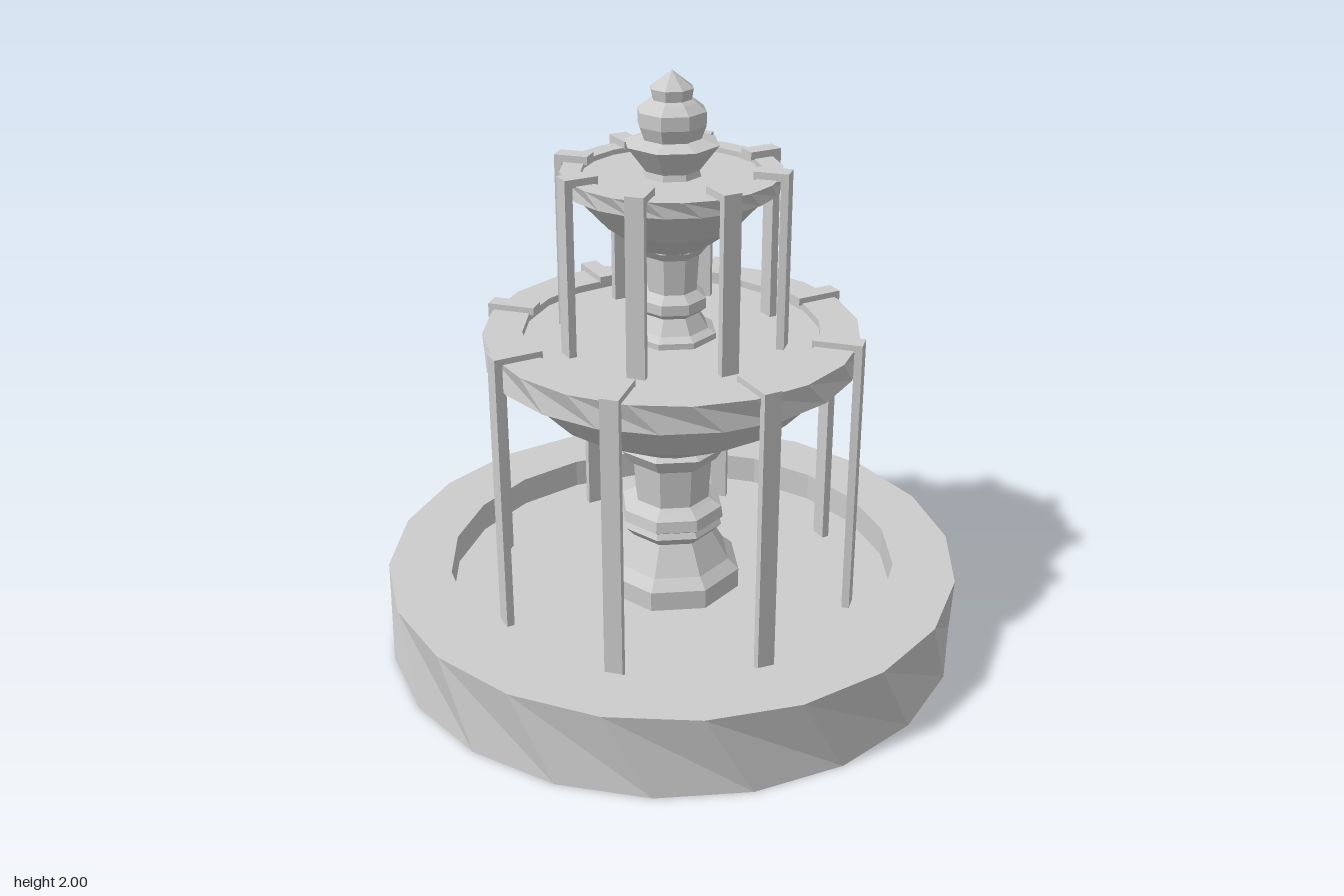
import * as THREE from 'three';

const stone = new THREE.MeshStandardMaterial({ color: 0xcccccc });
stone.name = 'grey stone';
stone.flatShading = true;

// Faceted turned part. Each profile entry is [radius, height, twist in facets].
function turned(name, sides, phase, profile) {
  const geo = new THREE.LatheGeometry(
    profile.map(([r, y]) => new THREE.Vector2(r, y)), sides);
  const pos = geo.attributes.position;
  const n = profile.length;
  for (let i = 0; i < pos.count; i++) {
    const [r, , twist = 0] = profile[i % n];
    const a = ((Math.floor(i / n) + phase + twist) / sides) * Math.PI * 2;
    pos.setX(i, r * Math.sin(a));
    pos.setZ(i, r * Math.cos(a));
  }
  geo.computeVertexNormals();
  const mesh = new THREE.Mesh(geo, stone);
  mesh.name = name;
  return mesh;
}

// Octagonal turned part, given half-widths across its flats.
function octagonal(name, profile) {
  const k = 1 / Math.cos(Math.PI / 8);
  return turned(name, 8, 0.5, profile.map(([r, y]) => [r * k, y]));
}

// Eight spouts lying on a rim, each with a stream falling to the tier below.
function spouts(name, inner, outer, top, bottom) {
  const group = new THREE.Group();
  group.name = name;
  const width = 0.061, thick = 0.026;
  for (let i = 0; i < 8; i++) {
    const arm = new THREE.Group();
    arm.name = 'spout';
    arm.rotation.y = ((i + 0.5) * Math.PI) / 4;

    const lip = new THREE.Mesh(
      new THREE.BoxGeometry(width, thick, outer - inner), stone);
    lip.name = 'spoutLip';
    lip.position.set(0, top - thick / 2, (inner + outer) / 2);

    const fall = top - thick - bottom;
    const stream = new THREE.Mesh(
      new THREE.BoxGeometry(width, fall, thick), stone);
    stream.name = 'fallingStream';
    stream.position.set(0, bottom + fall / 2, outer - thick / 2);

    arm.add(lip, stream);
    group.add(arm);
  }
  return group;
}

export function createModel() {
  const model = new THREE.Group();
  model.name = 'tieredFountain';

  // Ground basin with rough-cut outer wall
  model.add(turned('groundBasin', 20, 0, [
    [0, 0], [0.992, 0, 0.5], [0.99, 0.283],
    [0.775, 0.283, 0.3], [0.775, 0.18, 0.3], [0, 0.18],
  ]));

  // Lower pedestal
  model.add(octagonal('lowerPedestal', [
    [0.225, 0.18], [0.225, 0.25], [0.19, 0.285], [0.135, 0.385],
    [0.165, 0.42], [0.155, 0.44], [0.17, 0.45], [0.165, 0.49],
    [0.135, 0.51], [0.122, 0.52], [0.13, 0.66], [0.145, 0.67],
    [0.175, 0.72], [0.13, 0.75],
  ]));

  // Middle bowl, filled almost to the rim
  model.add(turned('middleBowl', 20, 0, [
    [0, 0.73], [0.16, 0.73], [0.29, 0.8], [0.43, 0.88],
    [0.58, 1.04], [0.622, 1.045, 0.5], [0.626, 1.14],
    [0.495, 1.14], [0.495, 1.115], [0, 1.115],
  ]));
  model.add(spouts('middleSpouts', 0.48, 0.645, 1.16, 0.18));

  // Upper pedestal
  model.add(octagonal('upperPedestal', [
    [0.14, 1.115], [0.14, 1.135], [0.115, 1.15], [0.085, 1.2],
    [0.108, 1.22], [0.108, 1.255], [0.09, 1.27], [0.078, 1.28],
    [0.085, 1.4], [0.108, 1.43], [0.1, 1.46],
  ]));

  // Upper bowl, filled almost to the rim
  model.add(turned('upperBowl', 20, 0, [
    [0, 1.43], [0.11, 1.43], [0.22, 1.51], [0.325, 1.625],
    [0.352, 1.63, 0.5], [0.358, 1.682], [0.29, 1.682],
    [0.29, 1.665], [0, 1.665],
  ]));
  model.add(spouts('upperSpouts', 0.275, 0.388, 1.705, 1.115));

  // Finial
  model.add(octagonal('finial', [
    [0.09, 1.665], [0.085, 1.685], [0.145, 1.77], [0.09, 1.787],
    [0.105, 1.83], [0.105, 1.875], [0.075, 1.9], [0.06, 1.91],
    [0.066, 1.945], [0, 2],
  ]));

  return model;
}
